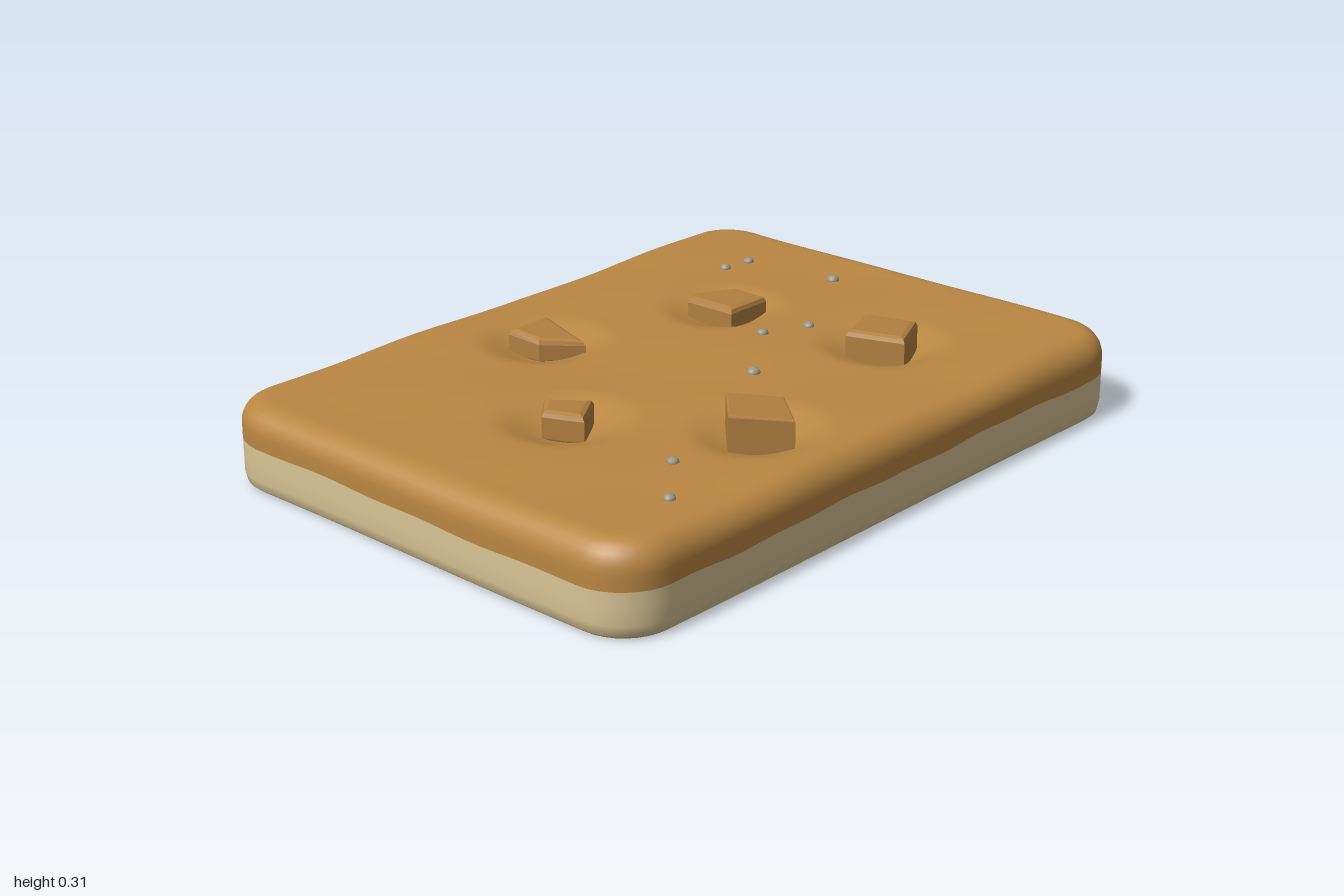
import * as THREE from 'three';

const crust = new THREE.MeshStandardMaterial({ color: 0xba8743, side: THREE.DoubleSide });
crust.name = 'brown soil';
const base = new THREE.MeshStandardMaterial({ color: 0xd9c495, side: THREE.DoubleSide });
base.name = 'pale sand';
const stone = new THREE.MeshStandardMaterial({ color: 0xb28040, side: THREE.DoubleSide });
stone.name = 'brown rock';
const grey = new THREE.MeshStandardMaterial({ color: 0x9c9684 });
grey.name = 'grey pebble';

// Rocks: outline seen from above [x, z], top height, slope of the top along x and z
const rocks = [
  { top: 0.265, sx: 0, sz: -0.13, pts: [[-0.20, -0.46], [-0.06, -0.46], [-0.09, -0.28], [-0.19, -0.36]] },
  { top: 0.274, sx: 0, sz: 0, pts: [[0.31, -0.27], [0.35, -0.285], [0.465, -0.22], [0.46, -0.11], [0.32, -0.11]] },
  { top: 0.274, sx: 0, sz: 0, pts: [[-0.49, -0.04], [-0.41, 0.06], [-0.51, 0.125], [-0.56, 0.02]] },
  { top: 0.297, sx: 0, sz: 0, pts: [[0.355, 0.265], [0.50, 0.215], [0.545, 0.36], [0.41, 0.42]] },
  { top: 0.307, sx: -0.06, sz: -0.06, sharp: true, pts: [[-0.22, 0.34], [-0.12, 0.45], [-0.22, 0.57], [-0.335, 0.45]] },
];
for (const r of rocks) {
  r.cx = r.pts.reduce((s, p) => s + p[0], 0) / r.pts.length;
  r.cz = r.pts.reduce((s, p) => s + p[1], 0) / r.pts.length;
}

// Gentle waves of the ground, and the pit around each rock
function relief(x, z) {
  let y = 0.004 * Math.sin(3.1 * x + 0.8) * Math.cos(2.6 * z) + 0.003 * Math.sin(7 * x + 4 * z)
    + 0.005 * z + 0.0015 * Math.sin(13 * x - 9 * z);
  for (const r of rocks) {
    const d = Math.hypot(x - r.cx, z - r.cz);
    y -= 0.045 * (1 - THREE.MathUtils.smoothstep(d, 0.03, 0.2));
  }
  return y;
}

// Rounded rectangle outline, pulled inwards by an inset
function outline(inset) {
  const w = 0.995 - inset, d = 0.73 - inset, r = 0.15 - inset, pts = [];
  const corners = [[1, 1], [-1, 1], [-1, -1], [1, -1]];
  corners.forEach(([sx, sz], i) => {
    const cx = sx * (w - r), cz = sz * (d - r);
    for (let k = 0; k <= 8; k++) {
      const a = (i + k / 8) * Math.PI / 2;
      pts.push([cx + r * Math.cos(a), cz + r * Math.sin(a)]);
    }
    const [nx, nz] = corners[(i + 1) % 4];
    const [px, pz] = pts[pts.length - 1];
    const a = (i + 1) * Math.PI / 2;
    const qx = nx * (w - r) + r * Math.cos(a), qz = nz * (d - r) + r * Math.sin(a);
    const n = i % 2 ? 34 : 46;
    for (let k = 1; k < n; k++) pts.push([px + (qx - px) * k / n, pz + (qz - pz) * k / n]);
  });
  return pts;
}

// Hollow slab: wall rings from the bottom upwards, then top rings shrinking to the middle
function slabGeometry() {
  const profile = [[0.02, 0.006], [0.006, 0.018], [0, 0.045], [0, 0.09], [0, 0.132]];
  const seam = profile.length - 1;
  profile.push([0, 0.155], [0, 0.175]);
  for (let k = 1; k <= 7; k++) {
    const a = k / 7 * Math.PI / 2;
    profile.push([0.07 * (1 - Math.cos(a)), 0.175 + 0.067 * Math.sin(a)]);
  }
  const rings = profile.map(([inset, y]) => ({ inset, y, scale: 1 }));
  const steps = 44;
  for (let k = 1; k <= steps; k++) rings.push({ inset: 0.07, y: 0.242, scale: 1 - k / steps });

  const pos = [], index = [];
  const n = outline(0).length;
  rings.forEach(({ inset, y, scale }, j) => {
    for (const [ox, oz] of outline(inset)) {
      let x = ox * scale, z = oz * scale;
      let h = y;
      if (j === seam) h += 0.003 * Math.sin(9 * x + 5 * z) + 0.002 * Math.sin(23 * x - 17 * z);
      if (y > 0.17) h += relief(x, z) * Math.min(1, (y - 0.17) / 0.07);
      // Slightly wavy sides
      z += 0.007 * Math.sin(3.6 * x + 3.6) * (z < 0 ? -Math.abs(z) : 0.5 * z);
      x += 0.004 * Math.sin(4 * z) * x;
      pos.push(x, h, z);
    }
  });
  for (let j = 0; j < rings.length - 1; j++) {
    for (let i = 0; i < n; i++) {
      const a = j * n + i, b = j * n + (i + 1) % n, c = a + n, d = b + n;
      index.push(a, c, b);
      index.push(b, c, d);
    }
  }
  const g = new THREE.BufferGeometry();
  g.setAttribute('position', new THREE.Float32BufferAttribute(pos, 3));
  g.setIndex(index);
  g.addGroup(0, seam * n * 6, 0);
  g.addGroup(seam * n * 6, index.length - seam * n * 6, 1);
  g.computeVertexNormals();
  return g;
}

// Rock: bevelled prism with a sloping top
function rockGeometry(r) {
  const bevel = r.sharp ? 0.006 : 0.016;
  const local = r.pts.map(([x, z]) => {
    const dx = x - r.cx, dz = z - r.cz, len = Math.hypot(dx, dz);
    const k = (len - bevel * 1.3) / len;
    return new THREE.Vector2(dx * k, -dz * k);
  });
  const bottom = 0.185, height = r.top - bottom;
  const g = new THREE.ExtrudeGeometry(new THREE.Shape(local), {
    depth: height - 2 * bevel, bevelThickness: bevel, bevelSize: bevel, bevelSegments: 2, steps: 1,
  });
  g.rotateX(-Math.PI / 2);
  g.translate(0, bevel, 0);
  const p = g.attributes.position;
  for (let i = 0; i < p.count; i++) {
    const t = p.getY(i) / height;
    p.setY(i, p.getY(i) + t * (r.sx * p.getX(i) + r.sz * p.getZ(i)));
  }
  g.translate(r.cx, bottom, r.cz);
  g.computeVertexNormals();
  return g;
}

export function createModel() {
  const model = new THREE.Group();
  model.name = 'groundTile';

  const slab = new THREE.Mesh(slabGeometry(), [base, crust]);
  slab.name = 'groundSlab';
  model.add(slab);

  rocks.forEach((r, i) => {
    const rock = new THREE.Mesh(rockGeometry(r), stone);
    rock.name = `rock${i + 1}`;
    model.add(rock);
  });

  // Small pebbles resting on the ground
  const pebbles = [[0.63, -0.41], [0.72, -0.40], [0.77, -0.12], [0.285, 0.03],
    [0.42, 0.08], [0.05, 0.20], [-0.515, 0.43], [-0.68, 0.57]];
  pebbles.forEach(([x, z], i) => {
    const pebble = new THREE.Mesh(new THREE.IcosahedronGeometry(i === 2 || i === 5 ? 0.019 : 0.016, 1), grey);
    pebble.name = `pebble${i + 1}`;
    pebble.position.set(x, 0.243 + relief(x, z), z);
    pebble.scale.y = 0.8;
    pebble.rotation.y = i;
    model.add(pebble);
  });
  return model;
}
